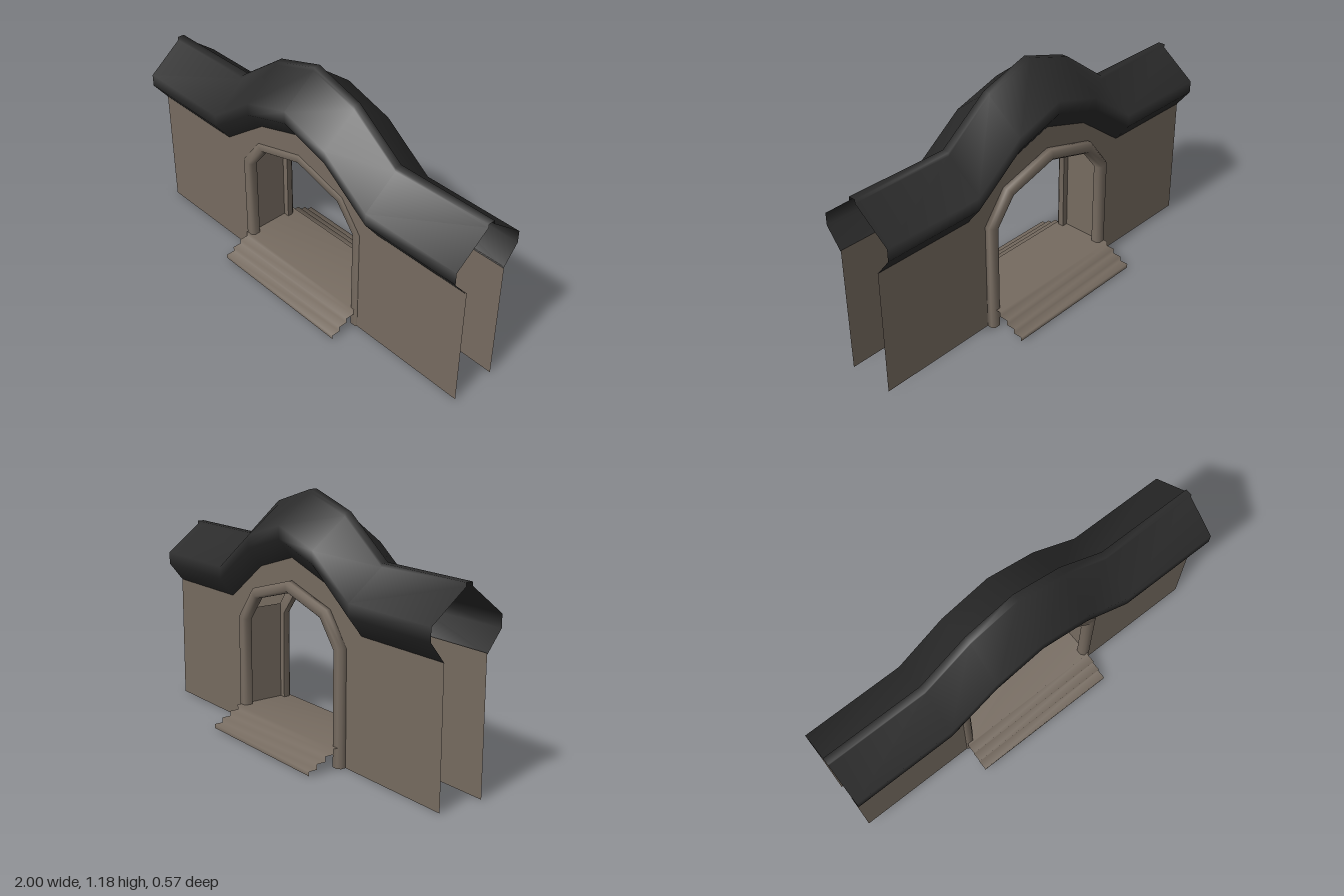
import * as THREE from 'three';

const stone = new THREE.MeshStandardMaterial({ name: 'stone', color: 0x766b60, side: THREE.DoubleSide });
const roofDark = new THREE.MeshStandardMaterial({ name: 'dark roof', color: 0x2b2b2b, side: THREE.DoubleSide });

// x stations and how far the roof rises at each one
const ARCH = [[-1, 0], [-0.5, 0], [-0.25, 0.185], [0, 0.262], [0.25, 0.185], [0.5, 0], [1, 0]];

// Smooth surface through rows of [x, y, z] points
function loft(rows) {
  const index = [], n = rows[0].length;
  for (let i = 0; i < rows.length - 1; i++) {
    for (let j = 0; j < n - 1; j++) {
      const a = i * n + j, b = a + n;
      index.push(a, b, b + 1, a, b + 1, a + 1);
    }
  }
  const geo = new THREE.BufferGeometry();
  geo.setAttribute('position', new THREE.Float32BufferAttribute(rows.flat(2), 3));
  geo.setIndex(index);
  geo.computeVertexNormals();
  return geo;
}

// Sheet made by running a [z, y] profile (front foot, over the top, to back foot) along x
const sheet = (profile, stations) =>
  loft(stations.map(([x, rise]) => profile.map(([z, y]) => [x, y + rise, z])));

// Half an arch outline mirrored into a full one, from one foot to the other
const mirrored = (half) => [
  ...half,
  ...half.slice().reverse().filter(([x]) => x !== 0).map(([x, y]) => [-x, y]),
];

const OUTER = mirrored([[-0.4, 0], [-0.4, 0.545], [-0.285, 0.695], [0, 0.775]]);
const INNER = mirrored([[-0.345, 0], [-0.345, 0.53], [-0.25, 0.65], [0, 0.72]]);

// Rounded moulding swept round the doorway, with closed feet
function doorFrame() {
  const profile = [[0, 0], [0, 0.028], [0.22, 0.043], [0.78, 0.043], [1, 0.028], [1, 0], [0, 0]];
  const point = (i, t, z) => [
    THREE.MathUtils.lerp(INNER[i][0], OUTER[i][0], t),
    THREE.MathUtils.lerp(INNER[i][1], OUTER[i][1], t),
    z,
  ];
  const ring = (i) => profile.map(([t, z]) => point(i, t, z));
  const foot = (i) => profile.map(() => point(i, 0.5, 0.02));
  const last = OUTER.length - 1;
  // the end rings are doubled so the feet keep a hard edge
  return loft([foot(0), ring(0), ...OUTER.map((_, i) => ring(i)), ring(last), foot(last)]);
}

export function createModel() {
  const group = new THREE.Group();
  const add = (name, geo, mat) => {
    const mesh = new THREE.Mesh(geo, mat);
    mesh.name = name;
    group.add(mesh);
    return mesh;
  };

  // Thin front and back walls with an arched doorway
  const opening = mirrored([[-0.39, 0], [-0.39, 0.54], [-0.278, 0.688], [0, 0.766]]);
  const roofLine = ARCH.map(([x, rise]) => [x, 0.62 + rise]);
  const outline = [[-1, 0], ...roofLine, [1, 0], ...opening.slice().reverse()];
  const wallGeo = new THREE.ShapeGeometry(
    new THREE.Shape(outline.map(([x, y]) => new THREE.Vector2(x, y))));
  add('frontWall', wallGeo, stone).position.z = 0.138;
  const backWall = add('backWall', wallGeo, stone);
  backWall.rotation.y = Math.PI;
  backWall.position.z = -0.093;

  // Door surrounds
  const frameGeo = doorFrame();
  add('frontDoorFrame', frameGeo, stone).position.z = 0.102;
  const backFrame = add('backDoorFrame', frameGeo, stone);
  backFrame.rotation.y = Math.PI;
  backFrame.position.z = -0.088;

  // Jamb panels set back between the two frames
  for (const side of [-1, 1]) {
    const jamb = add(side > 0 ? 'leftJamb' : 'rightJamb', new THREE.PlaneGeometry(0.195, 0.57), stone);
    jamb.rotation.y = -side * Math.PI / 2;
    jamb.position.set(side * 0.375, 0.29, 0.006);
  }

  // Stepped threshold running through the doorway, four even steps each side
  const half = [];
  for (let i = 0; i < 4; i++) {
    const z = 0.282 - i * 0.044;
    half.push([z, i === 0 ? 0.004 : i * 0.0245], [z, (i + 1) * 0.0245]);
  }
  const steps = [...half, ...half.slice().reverse().map(([z, y]) => [-z - 0.003, y])];
  add('thresholdSteps', sheet(steps, [[-0.39, 0], [0.38, 0]]), stone);

  // Hollow roof skin with a narrow raised ridge, vertical eaves and tucked-in undersides
  const roof = [
    [0.14, 0.615], [0.215, 0.71], [0.215, 0.77], [0.045, 0.903], [0.045, 0.92],
    [0.01, 0.92], [0.01, 0.903], [-0.165, 0.77], [-0.165, 0.71], [-0.09, 0.615],
  ];
  add('roof', sheet(roof, ARCH), roofDark);

  return group;
}
